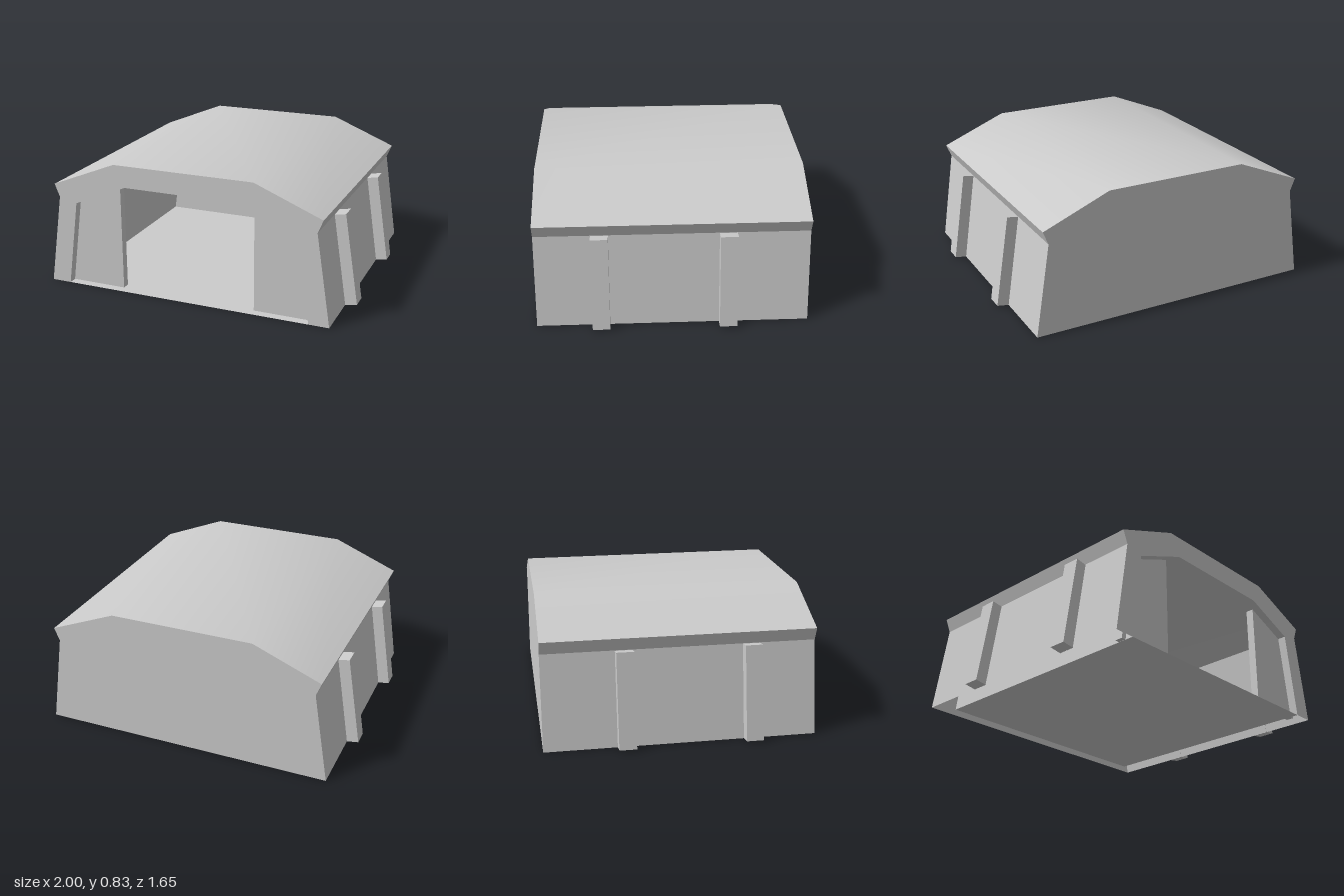
import * as THREE from 'three';
import { toCreasedNormals } from 'three/addons/utils/BufferGeometryUtils.js';

const FRONT = 0.823, BACK = -0.823, INNER_BACK = -0.74;

// Half profiles on +x, from the ground to the ridge, mirrored to full arches
const mirrored = half => [...half, ...half.map(([x, y]) => [-x, y]).reverse()];
const OUTER = mirrored([[0.927, 0], [0.84, 0.575], [0.873, 0.656], [0.452, 0.827]]);
const INNER = mirrored([[0.80, 0], [0.723, 0.547], [0.38, 0.69]]);

const shapeOf = points => new THREE.Shape(points.map(([x, y]) => new THREE.Vector2(x, y)));

// Sweeps an open profile along z; facing outward, or inward when flipped
function sweep(points, z0, z1, inward = false) {
  const pos = [];
  for (let i = 0; i < points.length - 1; i++) {
    const [p, q] = [points[i], points[i + 1]];
    const a = [...p, z1], b = [...p, z0], c = [...q, z0], d = [...q, z1];
    const corners = inward ? [a, c, b, a, d, c] : [a, b, c, a, c, d];
    pos.push(...corners.flat());
  }
  const g = new THREE.BufferGeometry();
  g.setAttribute('position', new THREE.Float32BufferAttribute(pos, 3));
  g.computeVertexNormals();
  return toCreasedNormals(g, 0.43);
}

// Prism: an xy outline extruded from z0 to z1
function prism(points, z0, z1) {
  const g = new THREE.ExtrudeGeometry(shapeOf(points), { depth: z1 - z0, bevelEnabled: false });
  return g.translate(0, 0, z0);
}

export function createModel() {
  const group = new THREE.Group();
  const grey = new THREE.MeshStandardMaterial({ color: 0xcccccc });
  const greyBoth = new THREE.MeshStandardMaterial({ color: 0xcccccc, side: THREE.DoubleSide });
  const add = (name, geometry, material) => {
    const mesh = new THREE.Mesh(geometry, material);
    mesh.name = name;
    group.add(mesh);
  };

  // Shell: roof and walls outside, lining inside, open underneath
  add('outerShell', sweep(OUTER, BACK, FRONT), greyBoth);
  add('innerShell', sweep(INNER, INNER_BACK, FRONT, true), greyBoth);
  const frame = shapeOf([...OUTER, ...[...INNER].reverse()]);
  add('frontFrame', new THREE.ShapeGeometry(frame).translate(0, 0, FRONT), greyBoth);
  add('backWall', new THREE.ShapeGeometry(shapeOf(OUTER)).rotateY(Math.PI).translate(0, 0, BACK), greyBoth);
  add('innerBackWall', new THREE.ShapeGeometry(shapeOf(INNER)).translate(0, 0, INNER_BACK), greyBoth);

  // Floor between the inner walls
  const floor = new THREE.PlaneGeometry(1.6, FRONT - INNER_BACK).rotateX(-Math.PI / 2);
  add('floor', floor.translate(0, 0, (FRONT + INNER_BACK) / 2), greyBoth);

  // Door panels set into the lining, and leaning wall buttresses, on both sides
  const door = [[0.44, 0.001], [0.83, 0.001], [0.75, 0.565], [0.44, 0.694]];
  const buttress = [[0.925, 0], [1, 0.012], [0.91, 0.585], [0.835, 0.572]];
  for (const [side, s] of [['left', 1], ['right', -1]]) {
    const flip = points => points.map(([x, y]) => [x * s, y]);
    add(side + 'DoorPanel', prism(flip(door), 0.72, 0.77), grey);
    add(side + 'FrontButtress', prism(flip(buttress), 0.38, 0.485), grey);
    add(side + 'BackButtress', prism(flip(buttress), -0.385, -0.28), grey);
  }
  return group;
}
